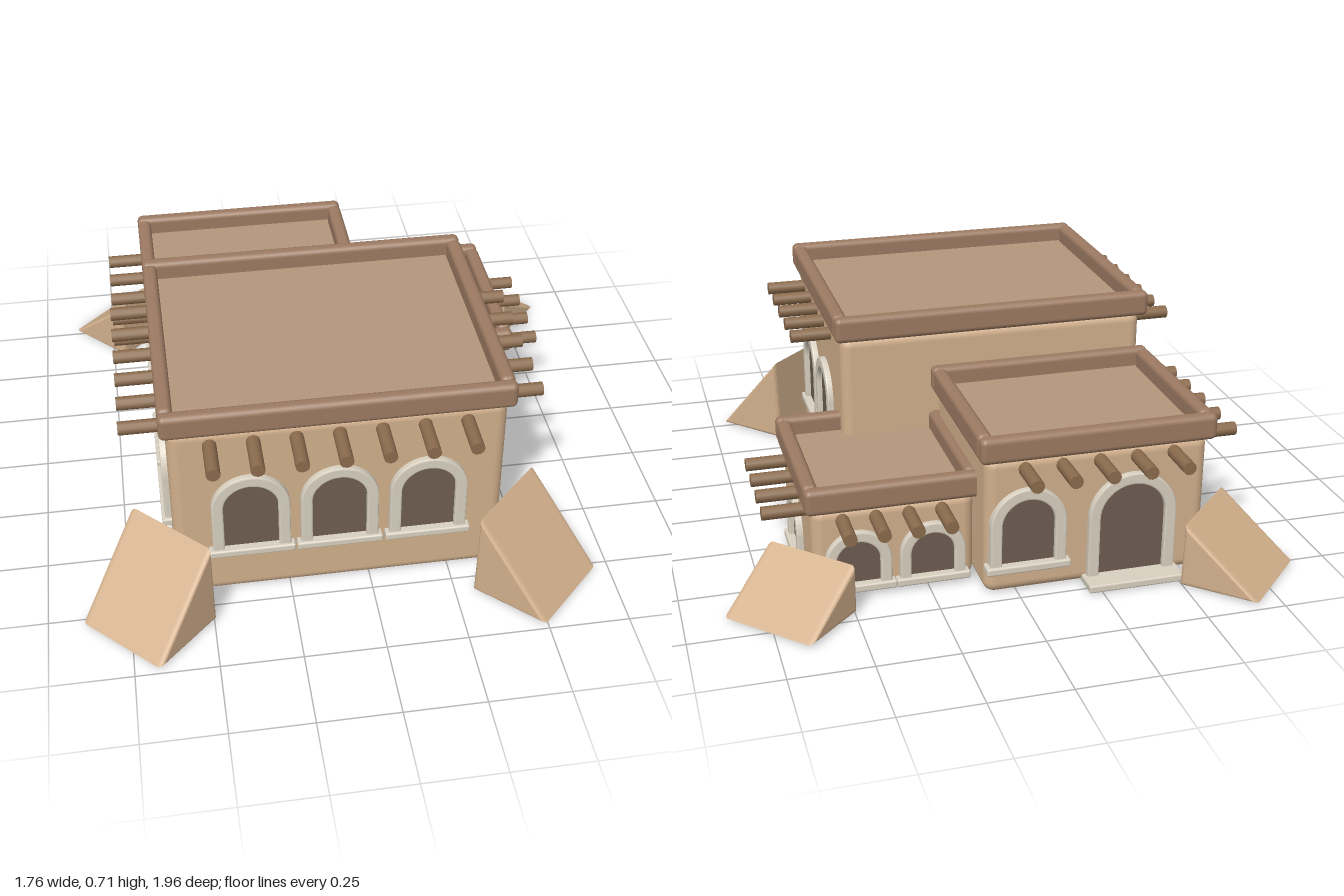
import * as THREE from 'three';
import { RoundedBoxGeometry } from 'three/addons/geometries/RoundedBoxGeometry.js';

const mat = (color) => new THREE.MeshStandardMaterial({ color });
const clay = mat(0xd2b08c), roofClay = mat(0xb4967c), trim = mat(0x9c7a62);
const wood = mat(0x8b6b4d), stone = mat(0xd8d0c0), dark = mat(0x6e5d50);

function add(parent, name, geometry, material, x = 0, y = 0, z = 0) {
  const mesh = new THREE.Mesh(geometry, material);
  mesh.name = name;
  mesh.position.set(x, y, z);
  parent.add(mesh);
  return mesh;
}

// Rounded box given by its limits on each axis
function slab(parent, name, material, [x0, x1], [y0, y1], [z0, z1], r) {
  const g = new RoundedBoxGeometry(x1 - x0, y1 - y0, z1 - z0, 3, r);
  return add(parent, name, g, material, (x0 + x1) / 2, (y0 + y1) / 2, (z0 + z1) / 2);
}

// One room: walls, sunken roof and a parapet of four rounded lengths
function room(parent, name, [x0, x1], [z0, z1], h) {
  const g = new THREE.Group();
  g.name = name;
  parent.add(g);
  slab(g, 'walls', clay, [x0, x1], [0, h + 0.01], [z0, z1], 0.035);
  add(g, 'roof', new THREE.BoxGeometry(x1 - x0 - 0.03, 0.04, z1 - z0 - 0.03), roofClay,
    (x0 + x1) / 2, h + 0.005, (z0 + z1) / 2);
  const o = 0.02, w = 0.046, y = [h, h + 0.083];
  for (const z of [z0 - o, z1 + o - w])
    slab(g, 'parapetLong', trim, [x0 - o, x1 + o], y, [z, z + w], 0.018);
  for (const x of [x0 - o, x1 + o - w])
    slab(g, 'parapetSide', trim, [x, x + w], y, [z0 + 0.02, z1 - 0.02], 0.018);
}

// Arch outline standing on y = 0, with half width w and total height h
function archPath(shape, w, h) {
  shape.moveTo(w, 0);
  shape.lineTo(w, h - w);
  shape.absarc(0, h - w, w, 0, Math.PI, false);
  shape.lineTo(-w, 0);
  return shape;
}

// Arched opening with a stone surround and sill, facing local +z
function arch(parent, name, x, z, turn, { w, base, top, band = 0.036, sill = 0.03 }) {
  const g = new THREE.Group();
  g.name = name;
  g.position.set(x, base, z);
  g.rotation.y = turn;
  parent.add(g);
  const b = 0.005, W = w - b, H = top - base - b, i = w - band + b;
  const surround = archPath(new THREE.Shape(), W, H);
  surround.lineTo(-i, 0);
  surround.lineTo(-i, H - W);
  surround.absarc(0, H - W, i, Math.PI, 0, true);
  surround.lineTo(i, 0);
  add(g, 'surround', new THREE.ExtrudeGeometry(surround, {
    depth: 0.025, bevelSize: b, bevelThickness: b, bevelSegments: 2, curveSegments: 20,
  }), stone, 0, 0, -0.01);
  add(g, 'opening', new THREE.ShapeGeometry(archPath(new THREE.Shape(), w - 0.015, top - base - 0.015), 20),
    dark, 0, 0, 0.003);
  slab(g, 'sill', stone, [-w - 0.013, w + 0.013], [-0.022, 0.003], [-0.02, sill], 0.006);
}

// Row of round beam ends sticking out of a wall; axis is the way they point
function beams(parent, name, axis, from, to, start, step, count, y) {
  const g = new THREE.Group();
  g.name = name;
  parent.add(g);
  const geo = new THREE.CylinderGeometry(0.021, 0.021, Math.abs(to - from), 12);
  if (axis === 'x') geo.rotateZ(Math.PI / 2);
  else geo.rotateX(Math.PI / 2);
  for (let i = 0; i < count; i++) {
    const s = start + i * step, m = (from + to) / 2;
    if (axis === 'x') add(g, 'beam', geo, wood, m, y, s);
    else add(g, 'beam', geo, wood, s, y, m);
  }
}

// Wedge buttress leaning diagonally on a corner, softly rounded
function buttress(parent, x, z, sx, sz, h) {
  const run = 0.275, width = 0.315, b = 0.016;
  const toe = Math.atan2(h, run), inset = (angle) => b / Math.tan(angle / 2);
  const s = new THREE.Shape();
  s.moveTo(b, b);
  s.lineTo(run - inset(toe), b);
  s.lineTo(b, h - inset(Math.PI / 2 - toe));
  s.closePath();
  const geo = new THREE.ExtrudeGeometry(s, {
    depth: width - 2 * b, bevelSize: b, bevelThickness: b, bevelSegments: 4,
  });
  geo.translate(0, 0, b - width / 2);
  add(parent, 'buttress', geo, clay, x, 0, z).rotation.y = Math.atan2(-sz, sx);
}

export function createModel() {
  const model = new THREE.Group();
  model.name = 'adobeHouse';

  room(model, 'mainRoom', [-0.6, 0.41], [-0.12, 0.69], 0.63);
  room(model, 'backRoom', [-0.6, 0.1], [-0.71, -0.13], 0.44);
  room(model, 'sideRoom', [0.1, 0.6], [-0.59, -0.04], 0.28);

  // Arched windows and doors
  const BACK = Math.PI, PLUS = Math.PI / 2, MINUS = -Math.PI / 2;
  const tall = { w: 0.119, base: 0.187, top: 0.465 };
  const mid = { w: 0.119, base: 0.1, top: 0.35 };
  const small = { w: 0.102, base: 0.036, top: 0.213, band: 0.034 };
  for (const x of [-0.366, -0.097, 0.175]) arch(model, 'frontWindow', x, 0.69, 0, tall);
  for (const z of [0.172, 0.423]) arch(model, 'leftWindow', 0.41, z, PLUS, tall);
  for (const z of [0.14, 0.42]) arch(model, 'rightWindow', -0.6, z, MINUS, tall);
  arch(model, 'backRoomSideWindow', -0.6, -0.46, MINUS, mid);
  arch(model, 'backRoomWindow', -0.03, -0.71, BACK, mid);
  arch(model, 'backDoor', -0.36, -0.71, BACK, { w: 0.14, base: 0.025, top: 0.36, sill: 0.08 });
  for (const x of [0.235, 0.465]) arch(model, 'sideRoomBackWindow', x, -0.59, BACK, small);
  arch(model, 'sideRoomWindow', 0.6, -0.31, PLUS, small);

  // Beam ends
  beams(model, 'frontBeams', 'z', 0.64, 0.825, -0.477, 0.127, 7, 0.59);
  beams(model, 'mainLeftBeams', 'x', 0.36, 0.54, 0.08, 0.1245, 5, 0.59);
  beams(model, 'mainRightBeams', 'x', -0.735, -0.55, -0.01, 0.117, 6, 0.59);
  beams(model, 'backRoomRightBeams', 'x', -0.735, -0.55, -0.6, 0.12, 5, 0.41);
  beams(model, 'backRoomBeams', 'z', -0.835, -0.66, -0.487, 0.117, 5, 0.41);
  beams(model, 'sideRoomBackBeams', 'z', -0.72, -0.54, 0.204, 0.1015, 4, 0.25);
  beams(model, 'sideRoomLeftBeams', 'x', 0.55, 0.735, -0.484, 0.116, 4, 0.25);

  // Corner buttresses
  buttress(model, -0.6, 0.695, -1, 1, 0.315);
  buttress(model, 0.415, 0.695, 1, 1, 0.315);
  buttress(model, -0.6, -0.695, -1, -1, 0.22);
  buttress(model, 0.6, -0.59, 1, -1, 0.165);
  return model;
}
